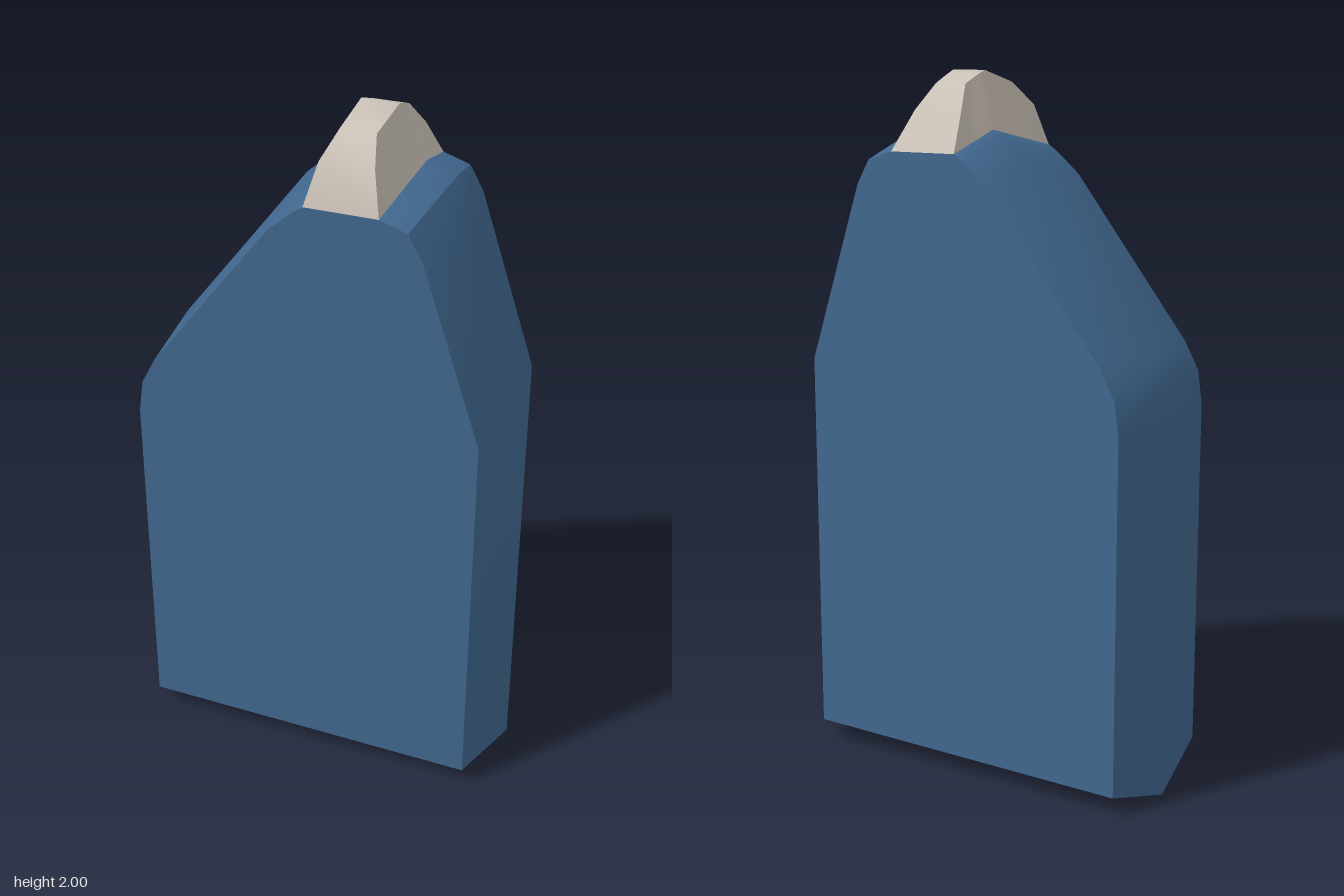
import * as THREE from 'three';
import { toCreasedNormals } from 'three/addons/utils/BufferGeometryUtils.js';

// Joins closed rings of [x, y, z], ordered front to back, each counter-clockwise from the front
function loft(rings, capped) {
  const n = rings[0].length, index = [];
  for (let r = 0; r < rings.length - 1; r++) {
    for (let j = 0; j < n; j++) {
      const k = (j + 1) % n, a = r * n, b = a + n;
      index.push(a + j, b + j, b + k, a + j, b + k, a + k);
    }
  }
  if (capped) {
    const last = (rings.length - 1) * n;
    for (let j = 1; j < n - 1; j++) {
      index.push(0, j, j + 1, last, last + j + 1, last + j);
    }
  }
  const geometry = new THREE.BufferGeometry();
  geometry.setAttribute('position', new THREE.Float32BufferAttribute(rings.flat(2), 3));
  geometry.setIndex(index);
  return toCreasedNormals(geometry, 0.58);
}

export function createModel() {
  const blue = new THREE.MeshStandardMaterial({ color: 0x41688f });
  blue.name = 'blue';
  const cream = new THREE.MeshStandardMaterial({ color: 0xcac1b7 });
  cream.name = 'cream';

  // Body: wide middle ridge between two smaller flat faces
  const ridge = [
    [-0.555, 0], [0.553, 0], [0.553, 1.18], [0.365, 1.74], [0.32, 1.81], [0.235, 1.84],
    [0.012, 1.84], [-0.03, 1.82], [-0.105, 1.755], [-0.49, 1.26], [-0.54, 1.18], [-0.555, 1.075],
  ];
  const face = [
    [-0.507, 0.058], [0.5, 0.058], [0.5, 1.18], [0.33, 1.69], [0.29, 1.76], [0.212, 1.785],
    [0.005, 1.785], [-0.025, 1.765], [-0.095, 1.705], [-0.45, 1.25], [-0.493, 1.17], [-0.507, 1.075],
  ];
  const at = (outline, z) => outline.map(([x, y]) => [x, y, z]);
  const body = new THREE.Mesh(loft([at(face, 0.245), at(ridge, -0.042), at(face, -0.245)], true), blue);
  body.name = 'body';

  // Cap: arched ridge along z, tapering upward; rows are z, top y, top left x, top right x
  const arch = [
    [0.245, 1.785, 0.005, 0.212],
    [0.21, 1.9, 0.035, 0.187],
    [0.135, 1.965, 0.062, 0.162],
    [0, 2, 0.066, 0.172],
    [-0.042, 1.986, 0.066, 0.168],
    [-0.1, 1.965, 0.064, 0.162],
    [-0.165, 1.895, 0.034, 0.187],
    [-0.245, 1.785, 0.005, 0.212],
  ];
  const rings = arch.map(([z, y, xl, xr]) => {
    // base follows the slope of the body top
    const t = z > -0.042 ? (0.245 - z) / 0.287 : (z + 0.245) / 0.203;
    const base = 1.785 + 0.055 * t;
    return [[0.005 + 0.007 * t, base, z], [0.212 + 0.023 * t, base, z], [xr, y, z], [xl, y, z]];
  });
  const cap = new THREE.Mesh(loft(rings, false), cream);
  cap.name = 'topCap';

  const group = new THREE.Group();
  group.name = 'model';
  group.add(body, cap);
  return group;
}
